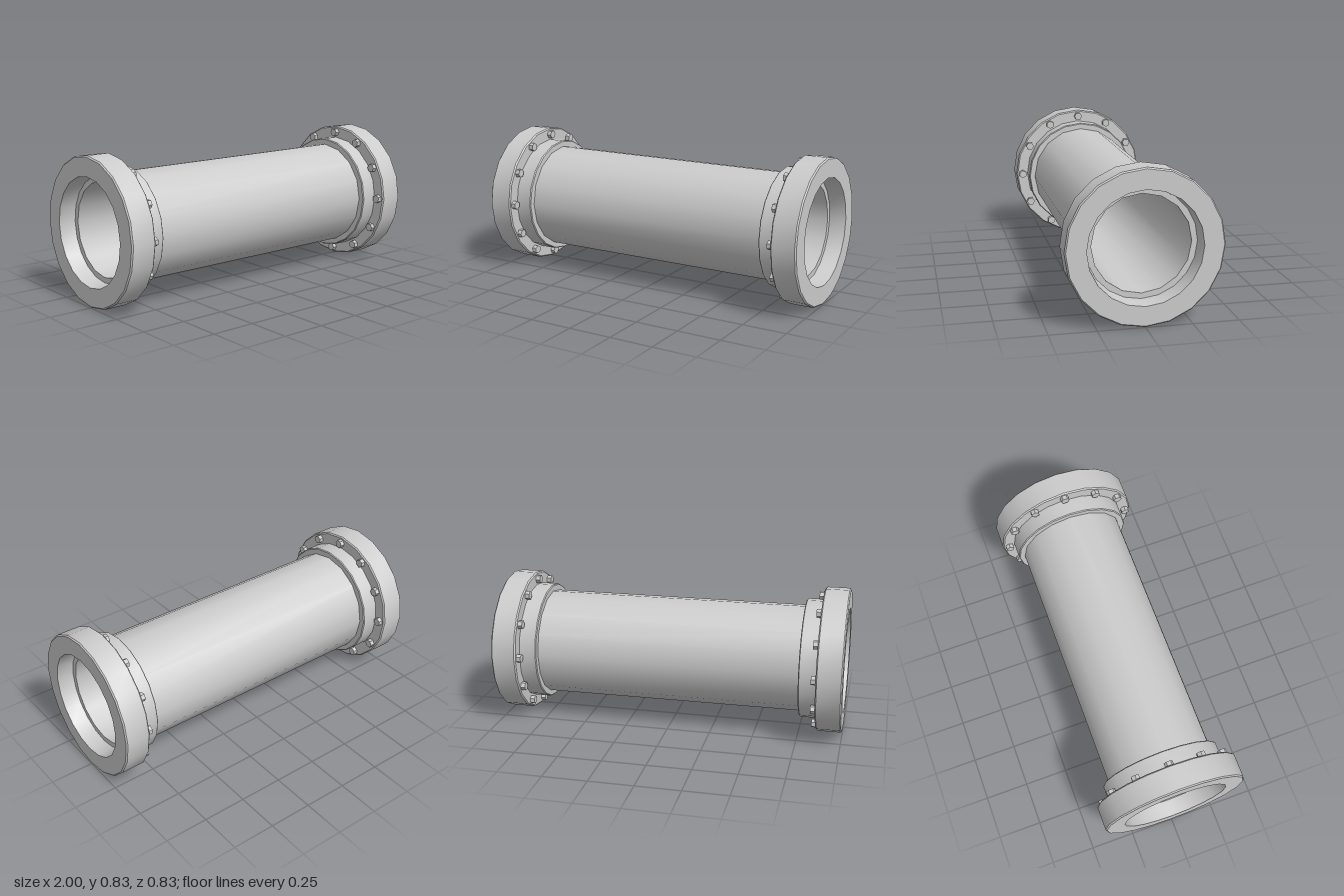
import * as THREE from 'three';
import { toCreasedNormals } from 'three/addons/utils/BufferGeometryUtils.js';

const AXIS_Y = 0.415;
const material = new THREE.MeshStandardMaterial({ color: 0xcccccc });

// Ring turned around the x axis; the profile is a closed loop of [radius, x]
function turned(name, profile, sides) {
  const points = [...profile, profile[0]].map(([r, x]) => new THREE.Vector2(r, x));
  const geometry = toCreasedNormals(new THREE.LatheGeometry(points, sides), 0.5);
  geometry.rotateZ(-Math.PI / 2);
  const mesh = new THREE.Mesh(geometry, material);
  mesh.name = name;
  return mesh;
}

function createEnd() {
  const end = new THREE.Group();

  // Flange with softened rims and a slightly tapered bore
  end.add(turned('flange', [
    [0.285, 0.855], [0.408, 0.855], [0.415, 0.862], [0.415, 0.993],
    [0.408, 1.0], [0.303, 1.0], [0.293, 0.905], [0.285, 0.905],
  ], 20));

  // Collar gripping the pipe behind the flange
  end.add(turned('collar', [
    [0.29, 0.755], [0.338, 0.755], [0.343, 0.76], [0.343, 0.865], [0.29, 0.865],
  ], 20));

  // Ring of hexagonal bolt heads
  const boltGeometry = toCreasedNormals(new THREE.CylinderGeometry(0.025, 0.025, 0.04, 6), 0.5);
  boltGeometry.rotateZ(-Math.PI / 2);
  for (let i = 0; i < 12; i++) {
    const angle = (i / 12) * Math.PI * 2;
    const bolt = new THREE.Mesh(boltGeometry, material);
    bolt.name = 'bolt';
    bolt.position.set(0.849, Math.cos(angle) * 0.376, Math.sin(angle) * 0.376);
    bolt.rotation.x = angle;
    end.add(bolt);
  }
  return end;
}

export function createModel() {
  const model = new THREE.Group();
  model.name = 'flangedPipe';

  // Hollow pipe, set back inside both flanges
  const pipe = turned('pipe', [
    [0.263, -0.906], [0.307, -0.906], [0.307, 0.906], [0.263, 0.906],
  ], 16);
  pipe.position.y = AXIS_Y;
  model.add(pipe);

  // Matching ends
  for (const side of [1, -1]) {
    const end = createEnd();
    end.name = side > 0 ? 'leftEnd' : 'rightEnd';
    end.position.y = AXIS_Y;
    if (side < 0) end.rotation.y = Math.PI;
    model.add(end);
  }
  return model;
}
